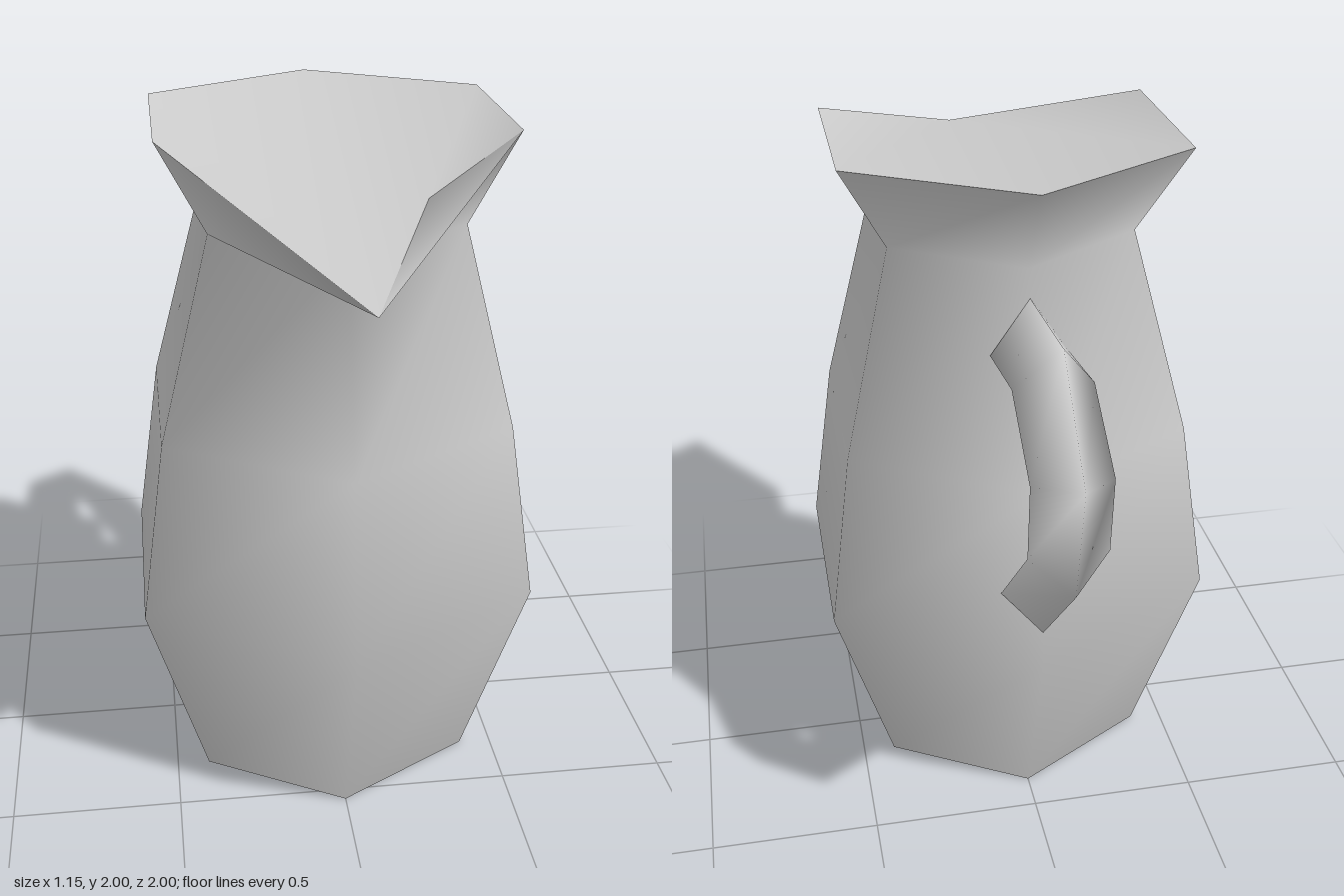
import * as THREE from 'three';

const SIDES = 6;

// Body outlines: height, half width, front z, back z
const RINGS = [
  [0, 0.403, 0.545, -0.385],
  [0.61, 0.575, 0.745, -0.585],
  [1.14, 0.502, 0.66, -0.5],
  [1.74, 0.352, 0.55, -0.325],
  [2, 0.485, 0.64, -0.48],
].map(([y, w, front, back]) => {
  const mid = (front + back) / 2, q = (front - back) / 4;
  return [[0, y, front], [w, y, mid + q], [w, y, mid - q],
    [0, y, back], [-w, y, mid - q], [-w, y, mid + q]];
});
const RIM = RINGS[RINGS.length - 1];
RIM[0] = [0, 1.74, 1]; // spout tip

function smoothGeometry(points, index) {
  const g = new THREE.BufferGeometry();
  g.setAttribute('position', new THREE.Float32BufferAttribute(points.flat(), 3));
  g.setIndex(index);
  g.computeVertexNormals();
  return g;
}

// Skin over a row of closed outlines
function loft(loops) {
  const n = loops[0].length, index = [];
  for (let j = 0; j < loops.length - 1; j++) {
    for (let i = 0; i < n; i++) {
      const a = j * n + i, b = j * n + (i + 1) % n;
      index.push(a, b, b + n, a, b + n, a + n);
    }
  }
  return smoothGeometry(loops.flat(), index);
}

// Top surface, fanned from the spout tip
function topGeometry() {
  const index = [];
  for (let i = 1; i < SIDES - 1; i++) index.push(0, i, i + 1);
  return smoothGeometry(RIM, index);
}

// Bent handle with a triangular section, ridge on the outside
function handleGeometry() {
  const halfWidth = 0.108;
  // outer z, outer y, inner z, inner y
  const sections = [
    [-0.35, 1.665, -0.34, 1.5],
    [-0.745, 1.705, -0.64, 1.55],
    [-1, 1.445, -0.872, 1.4],
    [-0.935, 1.1, -0.85, 1.175],
    [-0.57, 0.72, -0.495, 0.82],
  ];
  return loft(sections.map(([oz, oy, iz, iy]) =>
    [[0, oy, oz], [halfWidth, iy, iz], [-halfWidth, iy, iz]]));
}

export function createModel() {
  const group = new THREE.Group();
  group.name = 'jug';
  // the body is open underneath, so both sides show
  const grey = new THREE.MeshStandardMaterial({ color: 0xcccccc, side: THREE.DoubleSide });
  grey.name = 'light grey';

  const parts = { body: loft(RINGS), top: topGeometry(), handle: handleGeometry() };
  for (const [name, geometry] of Object.entries(parts)) {
    const mesh = new THREE.Mesh(geometry, grey);
    mesh.name = name;
    group.add(mesh);
  }
  return group;
}
